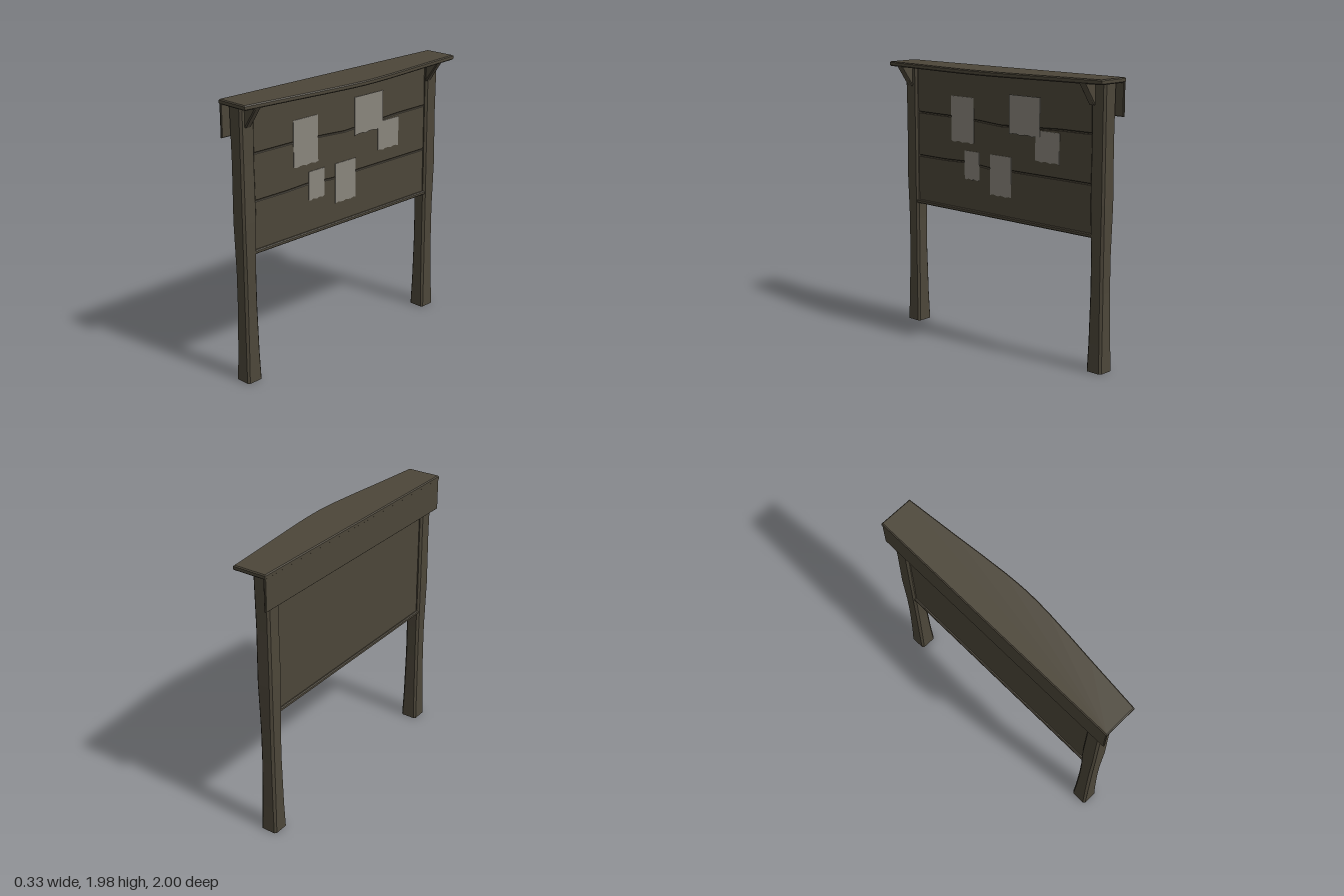
import * as THREE from 'three';

const wood = new THREE.MeshStandardMaterial({ color: 0x4c4639 });
wood.name = 'weathered wood';
const paper = new THREE.MeshStandardMaterial({ color: 0x89857c });
paper.name = 'aged paper';

function addMesh(group, name, geometry, material = wood) {
  const mesh = new THREE.Mesh(geometry, material);
  mesh.name = name;
  group.add(mesh);
  return mesh;
}

// Extrudes an outline from depth 0 to `depth`, with an inset bevel
function slab(points, depth, bevel = 0) {
  const shape = new THREE.Shape(points.map(([a, b]) => new THREE.Vector2(a, b)));
  const g = new THREE.ExtrudeGeometry(shape, {
    depth: depth - 2 * bevel, bevelEnabled: bevel > 0, bevelSize: bevel,
    bevelThickness: bevel, bevelOffset: -bevel, bevelSegments: 1,
  });
  return g.translate(0, 0, bevel);
}

// Outline given as [z, y], thickness running from x0 towards +x
function facingSlab(points, x0, depth, bevel) {
  return slab(points.map(([z, y]) => [-z, y]), depth, bevel).rotateY(Math.PI / 2).translate(x0, 0, 0);
}

const rect = (z0, z1, y0, y1) => [[z0, y0], [z1, y0], [z1, y1], [z0, y1]];

// Chamfered post with a hand-cut, slightly uneven width; rings are [y, half width, chamfer]
function postGeometry() {
  const rings = [[0, 0.063, 0.013], [0.2, 0.058, 0.015], [0.55, 0.053, 0.016],
    [0.8, 0.053, 0.016], [1.15, 0.059, 0.014], [1.55, 0.057, 0.015], [1.95, 0.06, 0.014]];
  const pos = [], idx = [];
  for (const [y, w, c] of rings) {
    const k = w - c;
    for (const [x, z] of [[w, k], [k, w], [-k, w], [-w, k], [-w, -k], [-k, -w], [k, -w], [w, -k]]) pos.push(x, y, z);
  }
  for (let r = 0; r < rings.length - 1; r++) {
    for (let i = 0; i < 8; i++) {
      const a = r * 8 + i, b = r * 8 + (i + 1) % 8;
      idx.push(a, a + 8, b, b, a + 8, b + 8);
    }
  }
  const top = (rings.length - 1) * 8;
  for (let i = 1; i < 7; i++) {
    idx.push(0, i, i + 1);
    idx.push(top, top + i + 1, top + i);
  }
  const g = new THREE.BufferGeometry();
  g.setAttribute('position', new THREE.Float32BufferAttribute(pos, 3));
  g.setIndex(idx);
  const flat = g.toNonIndexed();
  flat.computeVertexNormals();
  return flat;
}

// Sheet of paper with a torn lower edge
function sheetPoints(z0, z1, y0, y1, seed) {
  const pts = [[z0, y1], [z1, y1]];
  const n = 8;
  for (let i = 0; i <= n; i++) {
    const t = i / n;
    pts.push([z1 + (z0 - z1) * t, y0 + 0.005 + 0.005 * Math.sin(seed * 2.3 + i * 2.1)]);
  }
  return pts;
}

export function createModel() {
  const model = new THREE.Group();
  model.name = 'noticeBoard';

  // Posts and the triangular brackets under the roof
  const post = postGeometry();
  const bracket = slab([[-0.03, 1.8], [-0.018, 1.8], [0.085, 1.948], [-0.03, 1.948]], 0.052, 0.008);
  for (const [side, s, bz] of [['left', 1, 0.89], ['right', -1, -0.842]]) {
    addMesh(model, side + 'Post', post).position.set(-0.083, 0, s * 0.888);
    addMesh(model, side + 'Bracket', bracket).position.z = bz - 0.026;
  }

  // Roof board with a bowed front edge
  const half = [[0.08, 1], [0.118, 0.6], [0.139, 0.4], [0.157, 0.2], [0.163, 0.1]];
  const outline = [[-0.168, -1], ...half.map(([x, z]) => [x, -z]), [0.166, 0],
    ...half.slice().reverse(), [-0.168, 1]];
  addMesh(model, 'roof', slab(outline, 0.034, 0.007).rotateX(-Math.PI / 2).translate(0, 1.946, 0));

  // Fascia hanging behind the roof
  addMesh(model, 'rearFascia', facingSlab(rect(-0.998, 0.998, 1.725, 1.96), -0.167, 0.018, 0.004));

  // Back panel and rails
  addMesh(model, 'backPanel', facingSlab(rect(-0.85, 0.85, 0.93, 1.95), -0.118, 0.05, 0));
  addMesh(model, 'bottomRail', facingSlab(rect(-0.85, 0.85, 0.92, 0.947), -0.132, 0.1, 0.006));
  addMesh(model, 'topRail', facingSlab(rect(-0.85, 0.85, 1.932, 1.95), -0.128, 0.092, 0));

  // Front planks separated by wavering seams, each seam a list of [z, y]
  const seams = [
    [[-0.84, 0.94], [0.84, 0.94]],
    [[-0.84, 1.275], [-0.4, 1.275], [-0.1, 1.275], [0.12, 1.271], [0.34, 1.289], [0.55, 1.282], [0.84, 1.283]],
    [[-0.84, 1.61], [-0.55, 1.608], [-0.25, 1.594], [0, 1.584], [0.2, 1.597], [0.45, 1.606], [0.84, 1.608]],
    [[-0.84, 1.94], [0.84, 1.94]],
  ];
  for (let i = 0; i < 3; i++) {
    const low = seams[i].map(([z, y]) => [z, y + 0.003]);
    const high = seams[i + 1].map(([z, y]) => [z, y - 0.003]).reverse();
    addMesh(model, 'plank' + (i + 1), facingSlab([...low, ...high], -0.07, 0.022, 0.004));
  }

  // Pinned sheets: [z0, z1, y0, y1, x]
  const sheets = [
    [0.255, 0.48, 1.425, 1.757, -0.047],
    [-0.38, -0.095, 1.535, 1.81, -0.041],
    [-0.55, -0.335, 1.37, 1.585, -0.047],
    [0.198, 0.345, 1.163, 1.372, -0.047],
    [-0.11, 0.092, 1.08, 1.372, -0.047],
  ];
  sheets.forEach(([z0, z1, y0, y1, x], i) =>
    addMesh(model, 'sheet' + (i + 1), facingSlab(sheetPoints(z0, z1, y0, y1, i + 1), x, 0.004, 0), paper));

  return model;
}
